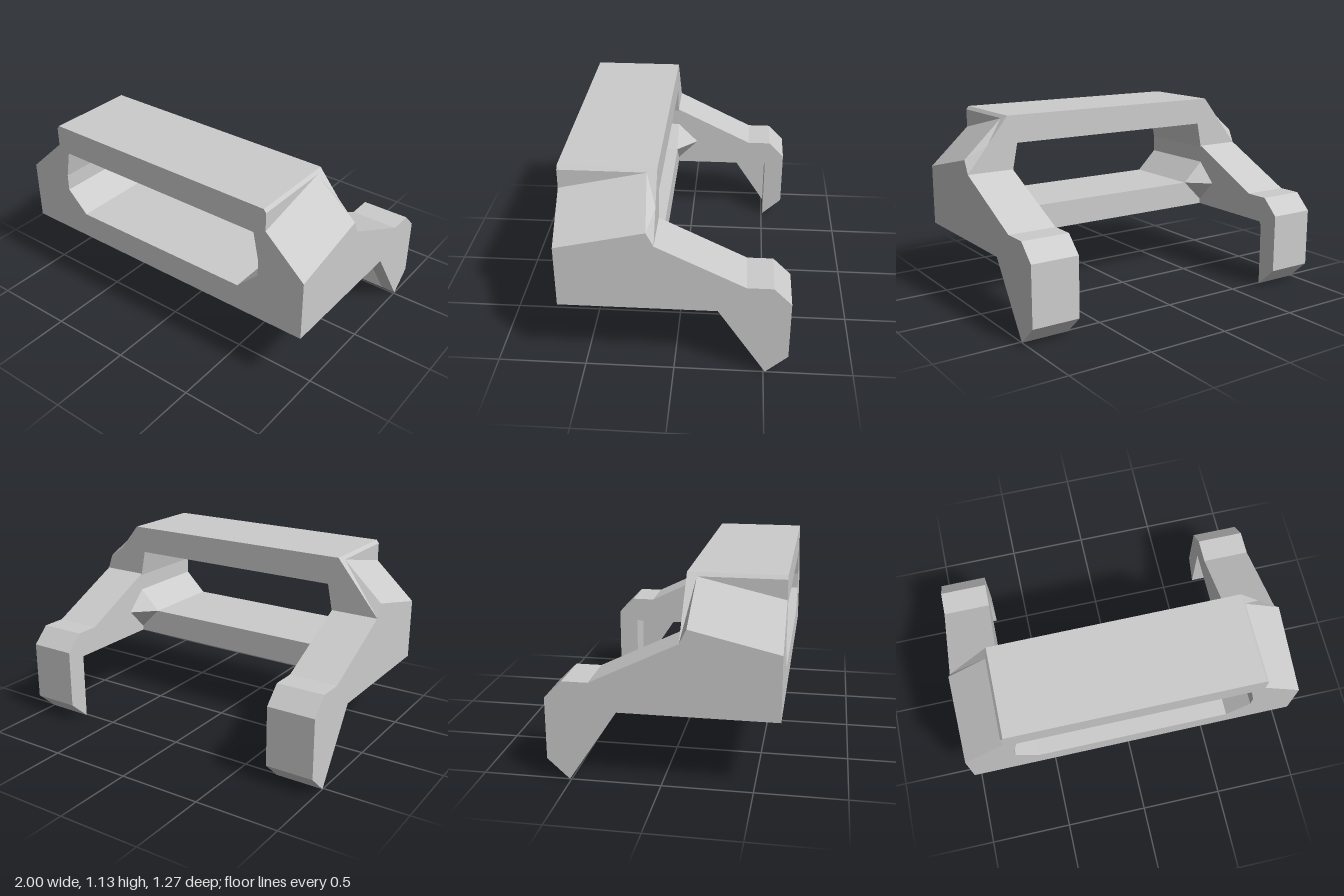
import * as THREE from 'three';
import { ConvexGeometry } from 'three/addons/geometries/ConvexGeometry.js';

const Z_BACK = 0.1, Z_FRONT = 0.635;
const grey = new THREE.MeshStandardMaterial({ color: 0xcccccc });
grey.name = 'grey';

const toShape = (pts) => new THREE.Shape(pts.map(([x, y]) => new THREE.Vector2(x, y)));
const mirrored = (half) => [...half, ...half.slice().reverse().map(([x, y]) => [-x, y])];

// Frame corners (half outline): front position, then where each lies on
// the shoulder ring [x, y, z] and on the back face [x, y]
const corners = [
  { front: [1, 0.41], mid: [1, 0.41, 0.15], back: [1, 0.41] },
  { front: [1, 0.775], mid: [1, 0.89, 0.14], back: [1, 0.81] },
  { front: [0.755, 1.0], mid: [0.755, 1.11, 0.155], back: [0.87, 0.97] },
  { front: [0.755, 1.11], mid: [0.755, 1.11, 0.155], back: [0.7562, 1.11] },
  { front: [0.74, 1.13], mid: [0.74, 1.13, 0.155], back: [0.74, 1.13] },
];
const opening = [[0.58, 0.57], [0.713, 0.7], [0.713, 0.8], [0.68, 0.965]];

function frameGeometry() {
  const shape = toShape(mirrored(corners.map((c) => c.front)));
  shape.holes.push(toShape(mirrored(opening)));
  const geo = new THREE.ExtrudeGeometry(shape, { depth: 2, steps: 2, bevelEnabled: false });
  const p = geo.attributes.position;
  for (let i = 0; i < p.count; i++) {
    const x = p.getX(i), y = p.getY(i), layer = Math.round(p.getZ(i));
    const side = Math.sign(x);
    const c = corners.find(({ front }) =>
      Math.abs(front[0] - Math.abs(x)) < 1e-4 && Math.abs(front[1] - y) < 1e-4);
    if (layer === 2) p.setZ(i, Z_FRONT);
    else if (layer === 1) {
      if (c) p.setXYZ(i, side * c.mid[0], c.mid[1], c.mid[2]);
      else p.setZ(i, 0.15);
    } else if (c) p.setXYZ(i, side * c.back[0], c.back[1], Z_BACK);
    else p.setZ(i, Z_BACK);
  }
  geo.computeVertexNormals();
  return geo;
}

// Extrudes a (z, y) profile between two x positions
function sideSlab(profile, x0, x1) {
  const geo = new THREE.ExtrudeGeometry(toShape(profile), { depth: x1 - x0, bevelEnabled: false });
  return geo.rotateY(-Math.PI / 2).translate(x1, 0, 0);
}

// Leg profiles: shared upper edge, with a square or a sloped underside
const legTop = [[Z_BACK, 0.41], [Z_BACK, 0.81], [-0.39, 0.57], [-0.535, 0.57],
  [-0.635, 0.47], [-0.635, 0.115], [-0.51, 0]];
const innerLeg = [...legTop, [-0.51, 0.41]];
const outerLeg = [...legTop, [-0.24, 0.41]];

export function createModel() {
  const group = new THREE.Group();
  group.name = 'bracket';
  const add = (name, geo) => {
    const mesh = new THREE.Mesh(geo, grey);
    mesh.name = name;
    group.add(mesh);
  };

  add('frame', frameGeometry());

  for (const s of [1, -1]) {
    const side = s > 0 ? 'left' : 'right';
    const span = (a, b) => [s * a, s * b].sort((m, n) => m - n);
    add(side + 'Leg', sideSlab(innerLeg, ...span(0.713, 0.91)));
    add(side + 'LegBrace', sideSlab(outerLeg, ...span(0.91, 1)));

    // Faceted gusset in the corner between frame and leg
    add(side + 'Gusset', new ConvexGeometry([
      [0.713, 0.7, Z_BACK], [0.713, 0.44, Z_BACK], [0.58, 0.57, Z_BACK],
      [0.713, 0.57, -0.03],
    ].map(([x, y, z]) => new THREE.Vector3(s * x, y, z))));
  }
  return group;
}
